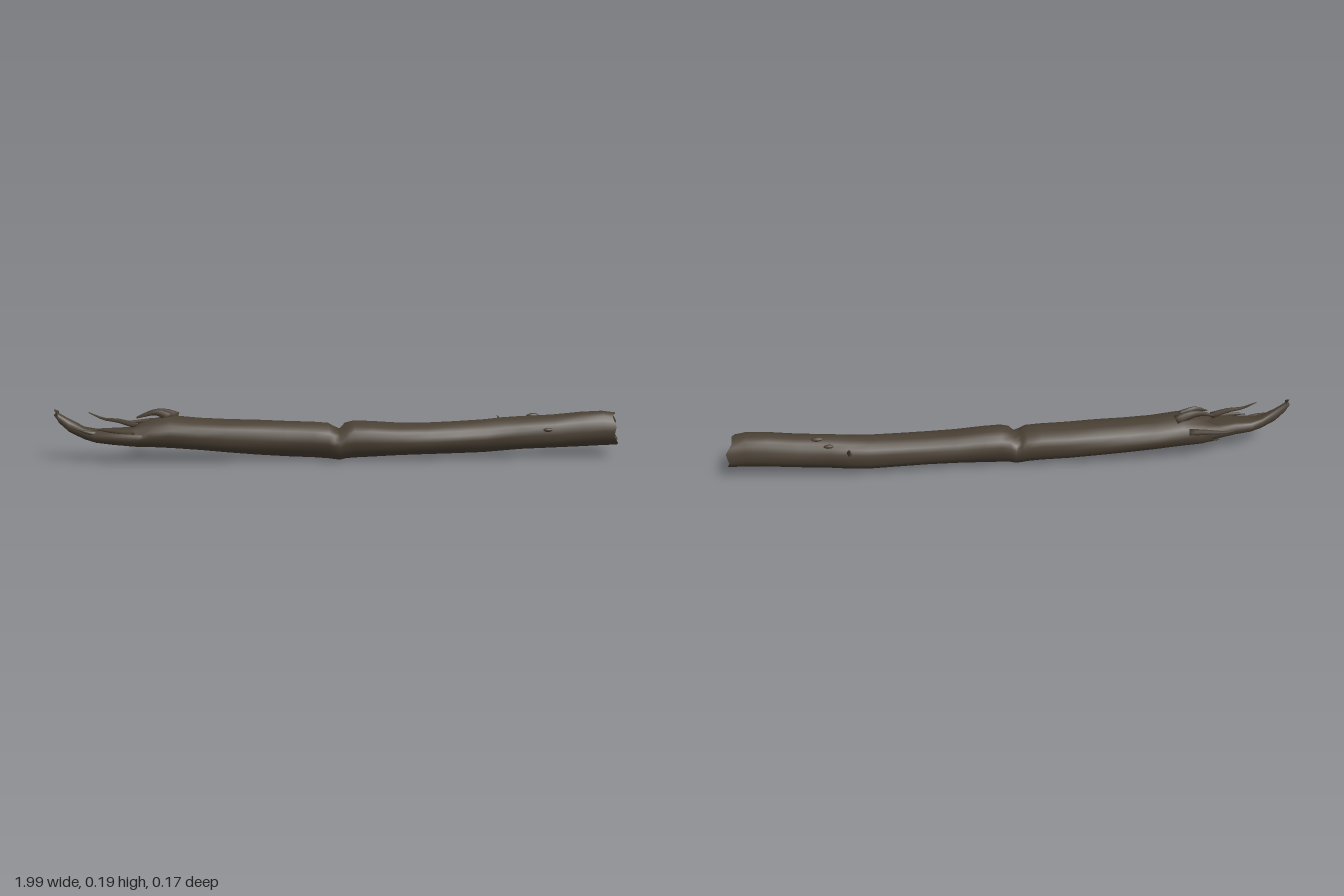
import * as THREE from 'three';

const SIDES = 20;

// Cross-sections along the log: x, bottom y, top y, back z, front z
const TRUNK = [
  [-0.72, 0.057, 0.135, -0.062, 0.067],
  [-0.67, 0.054, 0.152, -0.080, 0.069],
  [-0.60, 0.049, 0.163, -0.085, 0.070],
  [-0.50, 0.040, 0.152, -0.084, 0.068],
  [-0.40, 0.030, 0.147, -0.080, 0.068],
  [-0.30, 0.022, 0.145, -0.077, 0.069],
  [-0.20, 0.016, 0.141, -0.073, 0.070],
  [-0.10, 0.012, 0.138, -0.065, 0.075],
  [-0.05, 0.008, 0.134, -0.062, 0.078],
  [-0.03, 0.005, 0.122, -0.060, 0.079],
  [-0.01, 0.003, 0.113, -0.058, 0.080],
  [0.01, 0.007, 0.134, -0.058, 0.080],
  [0.04, 0.009, 0.141, -0.058, 0.080],
  [0.10, 0.011, 0.138, -0.056, 0.081],
  [0.20, 0.015, 0.130, -0.055, 0.080],
  [0.30, 0.017, 0.129, -0.055, 0.077],
  [0.40, 0.018, 0.132, -0.058, 0.072],
  [0.50, 0.019, 0.136, -0.061, 0.067],
  [0.57, 0.023, 0.142, -0.061, 0.063],
  [0.63, 0.028, 0.146, -0.056, 0.066],
  [0.75, 0.033, 0.152, -0.049, 0.070],
  [0.85, 0.038, 0.163, -0.043, 0.072],
  [0.92, 0.042, 0.167, -0.040, 0.073],
  [0.965, 0.044, 0.160, -0.038, 0.070],
];

// Broken end, narrowing and rising to a splintered tip
const TONGUE = [
  [-1.00, 0.168, 0.192, 0.000, 0.014],
  [-0.985, 0.145, 0.180, -0.006, 0.018],
  [-0.95, 0.110, 0.158, -0.012, 0.021],
  [-0.90, 0.084, 0.136, -0.020, 0.026],
  [-0.86, 0.073, 0.128, -0.030, 0.045],
  [-0.80, 0.066, 0.132, -0.036, 0.058],
  [-0.74, 0.060, 0.134, -0.050, 0.066],
  [-0.66, 0.055, 0.130, -0.070, 0.066],
];

function surface(rings, wrapStart, wrapEnd) {
  const pos = rings.flat(2), index = [], n = rings[0].length;
  for (let i = 0; i < rings.length - 1; i++) {
    for (let j = 0; j < n; j++) {
      const a = i * n + j, b = i * n + (j + 1) % n;
      index.push(a, b, a + n, b, b + n, a + n);
    }
  }
  const last = (rings.length - 1) * n;
  for (let j = 1; j < n - 1; j++) {
    if (wrapStart) index.push(0, j + 1, j);
    if (wrapEnd) index.push(last, last + j, last + j + 1);
  }
  const geo = new THREE.BufferGeometry();
  geo.setAttribute('position', new THREE.Float32BufferAttribute(pos, 3));
  geo.setIndex(index);
  geo.computeVertexNormals();
  return geo;
}

// One slightly lumpy ring; rag shifts the points along x at broken ends
function ring([x, y0, y1, z0, z1], rag = () => 0, scoop = 0) {
  const out = [];
  for (let j = 0; j < SIDES; j++) {
    const a = -j / SIDES * Math.PI * 2;
    const lump = 0.99 + 0.02 * Math.sin(3 * a + x * 4) + 0.012 * Math.sin(5 * a - x * 11);
    const up = Math.sin(a), side = Math.cos(a);
    let y = (y0 + y1) / 2 + up * lump * (y1 - y0) / 2;
    if (up > 0) y -= scoop * (y1 - y0) * Math.pow(up, 3);
    out.push([x + rag(a), y, (z0 + z1) / 2 + side * lump * (z1 - z0) / 2]);
  }
  return out;
}

// Tapered bent splinter through a few points
function splinter(points, radius, flat = 1) {
  const curve = new THREE.CatmullRomCurve3(points.map(p => new THREE.Vector3(...p)));
  const steps = 8, n = 6, frames = curve.computeFrenetFrames(steps, false), rings = [];
  for (let i = 0; i <= steps; i++) {
    const t = i / steps, c = curve.getPointAt(t), r = radius * (1 - 0.85 * t);
    const row = [];
    for (let j = 0; j < n; j++) {
      const a = j / n * Math.PI * 2;
      const p = c.clone()
        .addScaledVector(frames.normals[i], Math.cos(a) * r)
        .addScaledVector(frames.binormals[i], Math.sin(a) * r * flat);
      row.push(p.toArray());
    }
    rings.push(row);
  }
  return surface(rings, true, true);
}

export function createModel() {
  const log = new THREE.Group();
  log.name = 'brokenLog';
  const bark = new THREE.MeshStandardMaterial({ color: 0x4a4034, side: THREE.DoubleSide });
  bark.name = 'dark bark';
  const add = (name, geo) => {
    const mesh = new THREE.Mesh(geo, bark);
    mesh.name = name;
    log.add(mesh);
    return mesh;
  };

  // Main trunk, with a ragged rim on the broken side
  const ragLeft = a => 0.022 * Math.sin(4 * a + 1) + 0.014 * Math.sin(7 * a);
  const ragRight = a => 0.008 - 0.014 * Math.cos(a) - 0.008 * Math.sin(a) + 0.006 * Math.sin(5 * a);
  const trunk = TRUNK.map((r, i) =>
    ring(r, i === 0 ? ragLeft : i === TRUNK.length - 1 ? ragRight : undefined));
  add('trunk', surface(trunk, false, false));

  // Hollowed wood inside each end
  const faceAt = (rim, scales, shifts) => {
    const c = [0, 1, 2].map(k => rim.reduce((s, p) => s + p[k], 0) / rim.length);
    return scales.map((s, i) => rim.map(p => [
      c[0] + (p[0] - c[0]) * s + shifts[i],
      c[1] + (p[1] - c[1]) * s, c[2] + (p[2] - c[2]) * s]));
  };
  const cut = surface(faceAt(trunk[trunk.length - 1], [1, 0.82, 0.45], [0, -0.008, -0.025]), false, true);
  const cutFlat = cut.toNonIndexed();
  cutFlat.computeVertexNormals();
  add('cutEnd', cutFlat);
  const hollow = surface(faceAt(trunk[0], [1, 0.8, 0.4], [0, 0.03, 0.06]).reverse(), true, false).toNonIndexed();
  hollow.computeVertexNormals();
  add('brokenHollow', hollow);

  // Long tongue of wood left by the break, scooped along its top
  add('brokenTongue', surface(TONGUE.map((r, i) =>
    ring(r, i === 0 ? a => 0.008 * (1 + Math.sin(3 * a)) : undefined, i > 2 ? 0.16 : 0)), true, true));

  // Splinters and lifted bark around the break
  add('upperSplinter', splinter([[-0.72, 0.135, 0.02], [-0.78, 0.153, 0.02], [-0.83, 0.160, 0.018], [-0.88, 0.182, 0.015]], 0.015, 0.7));
  add('backSplinter', splinter([[-0.62, 0.125, -0.070], [-0.68, 0.128, -0.080], [-0.74, 0.125, -0.084], [-0.79, 0.128, -0.080]], 0.015, 0.8));
  add('frontSplinter', splinter([[-0.72, 0.11, 0.045], [-0.79, 0.12, 0.045], [-0.85, 0.125, 0.035]], 0.014));
  add('tipSplinter', splinter([[-0.82, 0.10, 0.02], [-0.88, 0.115, 0.035], [-0.93, 0.128, 0.028]], 0.012));
  add('barkFlap', splinter([[-0.58, 0.150, -0.03], [-0.62, 0.168, -0.028], [-0.66, 0.172, -0.022], [-0.72, 0.155, -0.015]], 0.018, 1.2));
  add('barkFlapEdge', splinter([[-0.60, 0.155, 0.0], [-0.65, 0.176, 0.002], [-0.70, 0.163, 0.01]], 0.012, 1.5));

  // Stub of a twig and small knots
  add('twigStub', splinter([[0.57, 0.10, -0.05], [0.572, 0.122, -0.064], [0.565, 0.133, -0.078]], 0.009));
  [[0.72, 0.11, 0.063, 0.016], [0.68, 0.146, -0.012, 0.02], [0.64, 0.132, -0.040, 0.016]].forEach(([x, y, z, r]) => {
    const knot = add('knot', new THREE.SphereGeometry(r, 10, 6));
    knot.scale.set(1.1, 0.45, 0.45);
    knot.position.set(x, y, z);
  });

  return log;
}
